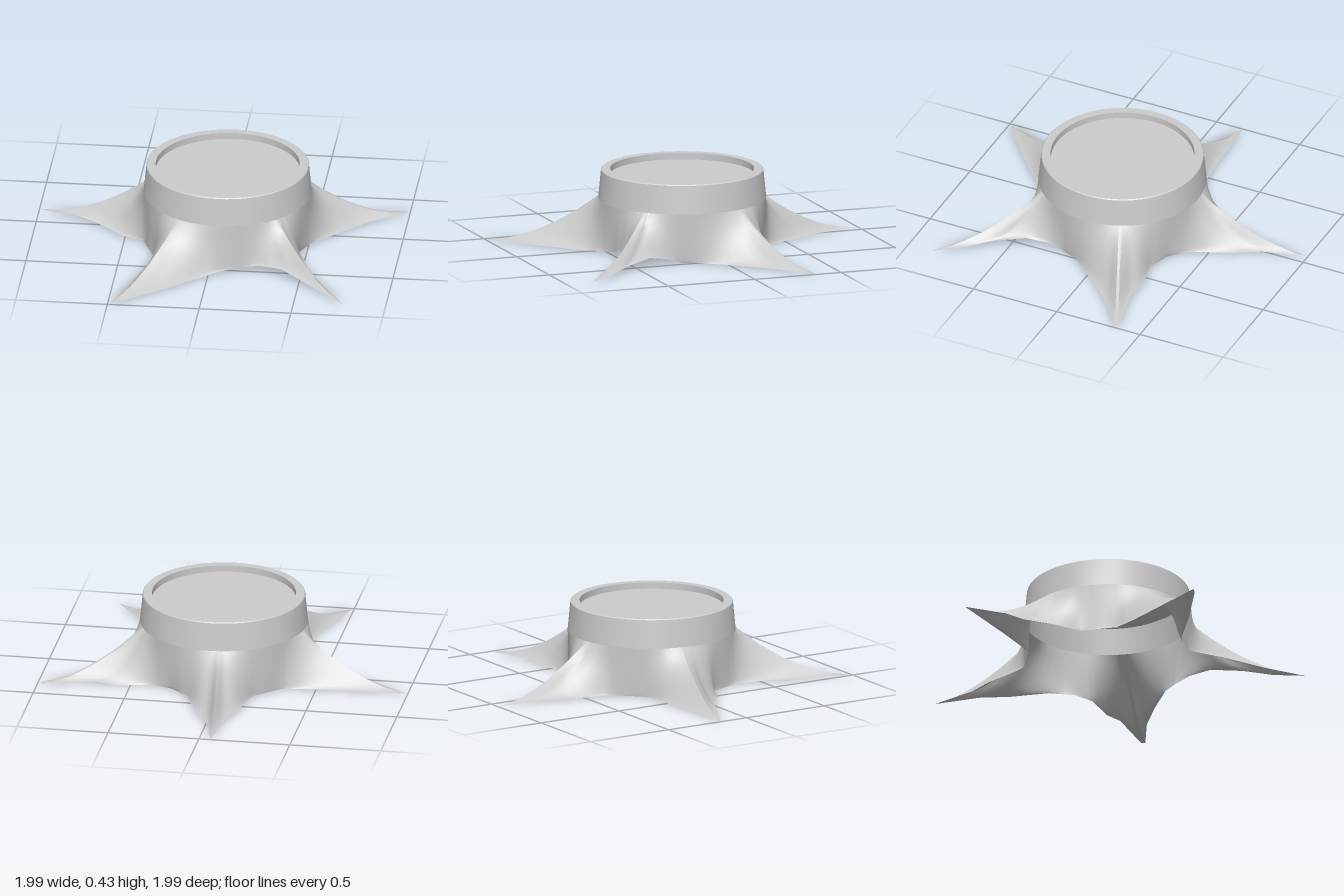
import * as THREE from 'three';
import { toCreasedNormals } from 'three/addons/utils/BufferGeometryUtils.js';

const CENTER = { x: 0.05, z: 0.06 };
const FLARE_TOP = 0.27, FLARE_RADIUS = 0.455;
const RIM_RADIUS = 0.44, INNER_RADIUS = 0.39, TOP = 0.43, LID_Y = 0.395;

// Ground outline around the five roots: x, z, and optional lift off the ground
const OUTLINE = [
  // back root
  [-0.18, -0.34], [-0.165, -0.39], [-0.13, -0.6], [-0.085, -0.74], [-0.064, -1],
  [0.005, -0.755], [0.09, -0.61], [0.17, -0.41], [0.27, -0.31],
  // left root
  [0.39, -0.275], [0.58, -0.31], [0.7, -0.305, 0.01], [0.98, -0.36], [0.99, -0.34],
  [0.8, -0.2], [0.645, -0.04], [0.5, 0.13], [0.46, 0.22],
  // front left root
  [0.47, 0.31, 0.03], [0.505, 0.42, 0.05], [0.58, 0.58, 0.03], [0.68, 0.71, 0.01], [0.77, 0.86],
  [0.59, 0.71, 0.02], [0.4, 0.56, 0.05], [0.27, 0.505, 0.04], [0.165, 0.5, 0.02],
  // front right root
  [0.06, 0.54, 0.01], [-0.02, 0.59], [-0.2, 0.76], [-0.45, 0.97], [-0.49, 0.99],
  [-0.43, 0.78], [-0.35, 0.51], [-0.32, 0.37],
  // right root
  [-0.395, 0.18], [-0.525, 0.12], [-0.67, 0, 0.01], [-0.77, -0.05, 0.02], [-1, -0.16],
  [-0.605, -0.18], [-0.34, -0.2], [-0.3, -0.22],
];

const material = new THREE.MeshStandardMaterial({ color: 0xcccccc, side: THREE.DoubleSide });

// Split every outline edge so the flare stays smooth
function subdivide(points, parts) {
  const out = [];
  points.forEach((a, i) => {
    const b = points[(i + 1) % points.length];
    for (let k = 0; k < parts; k++) {
      const t = k / parts;
      out.push({
        x: a[0] + (b[0] - a[0]) * t,
        z: a[1] + (b[1] - a[1]) * t,
        lift: (a[2] ?? 0) + ((b[2] ?? 0) - (a[2] ?? 0)) * t,
      });
    }
  });
  return out;
}

// Skin a list of closed rows of points
function loft(rows, crease) {
  const n = rows[0].length;
  const index = [];
  for (let r = 0; r < rows.length - 1; r++) {
    for (let i = 0; i < n; i++) {
      const a = r * n + i, b = r * n + (i + 1) % n;
      index.push(a, a + n, b, b, a + n, b + n);
    }
  }
  const geometry = new THREE.BufferGeometry().setFromPoints(rows.flat());
  geometry.setIndex(index);
  return toCreasedNormals(geometry, crease);
}

export function createModel() {
  const group = new THREE.Group();
  group.name = 'treeStump';
  const add = (name, geometry) => {
    const mesh = new THREE.Mesh(geometry, material);
    mesh.name = name;
    group.add(mesh);
    return mesh;
  };

  const foot = subdivide(OUTLINE, 3);
  const angles = foot.map((p) => Math.atan2(p.z - CENTER.z, p.x - CENTER.x));
  const ring = (radius, y) => angles.map((a) => new THREE.Vector3(
    CENTER.x + radius * Math.cos(a), y, CENTER.z + radius * Math.sin(a)));

  // Roots: the star outline shrinks into the trunk circle along a concave slope
  const collar = ring(FLARE_RADIUS, FLARE_TOP);
  const rows = [];
  const steps = 10;
  for (let s = 0; s <= steps; s++) {
    const t = s / steps;
    rows.push(foot.map((p, i) => new THREE.Vector3(
      p.x + (collar[i].x - p.x) * t,
      p.lift + (FLARE_TOP - p.lift) * Math.pow(t, 1.8),
      p.z + (collar[i].z - p.z) * t)));
  }
  add('roots', loft(rows, 0.7));

  // Upright trunk, flat rim and the short wall down to the cut face
  add('trunk', loft([
    collar,
    ring(RIM_RADIUS, TOP - 0.005),
    ring(RIM_RADIUS - 0.005, TOP),
    ring(INNER_RADIUS, TOP),
    ring(INNER_RADIUS, LID_Y),
  ], 0.5));

  // Recessed cut face
  const lid = add('cutFace', new THREE.CircleGeometry(INNER_RADIUS, 48).rotateX(-Math.PI / 2));
  lid.position.set(CENTER.x, LID_Y, CENTER.z);

  return group;
}
